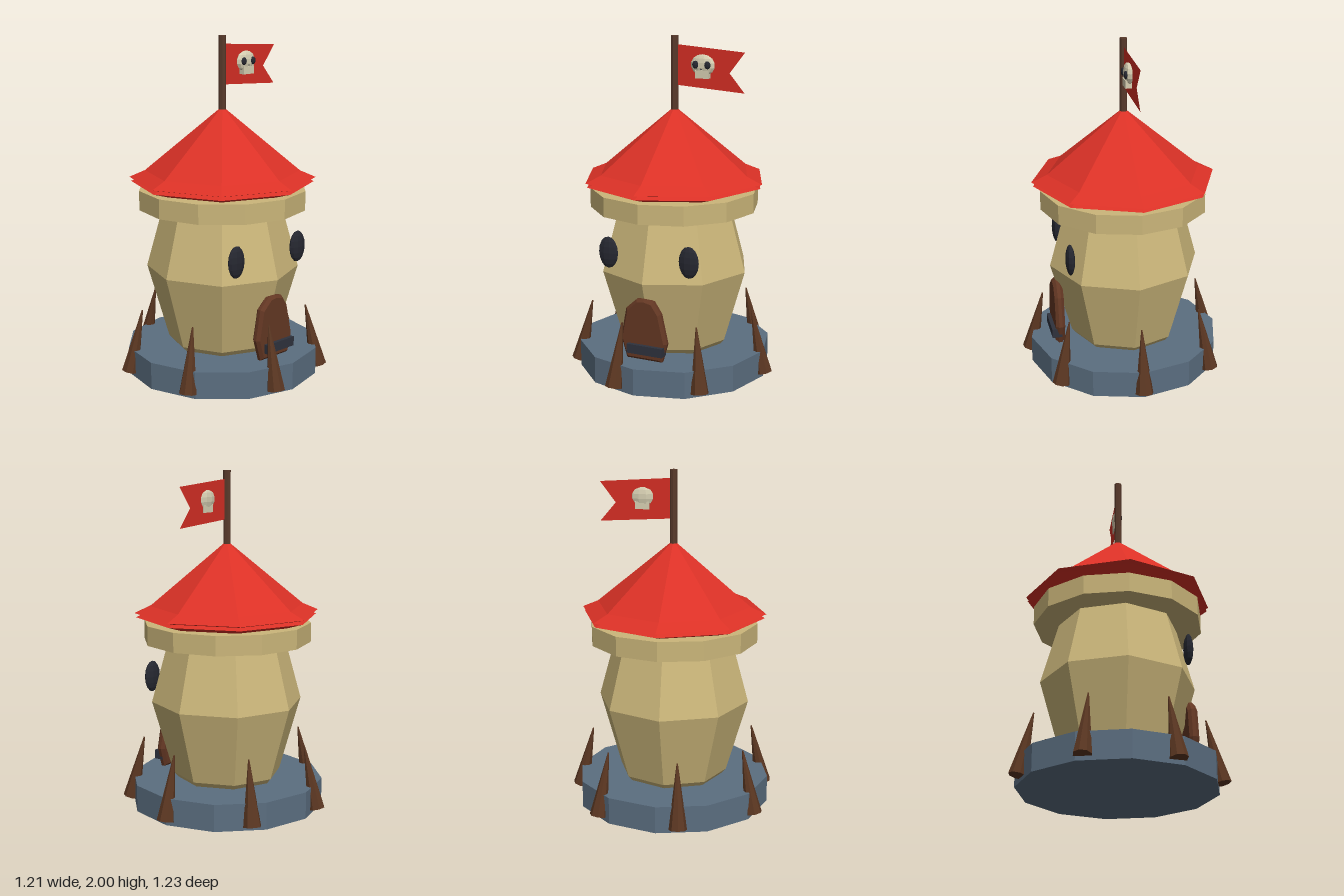
import * as THREE from 'three';

const mat = (name, color) => {
  const m = new THREE.MeshStandardMaterial({ color, flatShading: true });
  m.name = name;
  return m;
};

export function createModel() {
  const root = new THREE.Group();
  root.name = 'watchtower';
  const tower = new THREE.Group();
  tower.name = 'tower';
  tower.position.x = -0.03;
  root.add(tower);

  const stone = mat('sandstone', 0xcbb67a);
  const slate = mat('slate', 0x5b6e80);
  const red = mat('red', 0xdb3126);
  const wood = mat('wood', 0x5a3621);
  const doorWood = mat('doorWood', 0x633723);
  const pole = mat('poleWood', 0x593a2b);
  const dark = mat('dark', 0x262831);
  const iron = mat('iron', 0x2e323d);
  const bone = mat('bone', 0xd6cfb2);
  const cloth = mat('flagRed', 0xd52e24);
  cloth.side = THREE.DoubleSide;

  const add = (name, geo, material, x = 0, y = 0, z = 0, parent = tower) => {
    const mesh = new THREE.Mesh(geo, material);
    mesh.name = name;
    mesh.position.set(x, y, z);
    parent.add(mesh);
    return mesh;
  };
  const lathe = (pts, sides) =>
    new THREE.LatheGeometry(pts.map(([r, y]) => new THREE.Vector2(r, y)), sides);
  const ellipsoid = (rx, ry, rz, w = 10, h = 8) =>
    new THREE.SphereGeometry(1, w, h).scale(rx, ry, rz);
  const outline = pts => new THREE.Shape(pts.map(([x, y]) => new THREE.Vector2(x, y)));

  // Foundation, bulging walls and parapet
  add('foundation', new THREE.CylinderGeometry(0.577, 0.577, 0.16, 12), slate, 0, 0.08);
  add('walls', lathe([[0.29, 0.15], [0.325, 0.19], [0.452, 0.63], [0.348, 1.01]], 8), stone);
  add('parapet', new THREE.CylinderGeometry(0.5, 0.5, 0.115, 12), stone, 0, 1.054);

  // Tent roof with a doubled, flared rim
  add('roof', lathe([[0, 1.112], [0.43, 1.112], [0.54, 1.145], [0.5, 1.158],
    [0.55, 1.17], [0.457, 1.21], [0.018, 1.575], [0, 1.575]], 8), red);

  // Ring of inward-leaning stakes
  for (let i = 0; i < 7; i++) {
    const stake = new THREE.Group();
    stake.name = 'stake' + (i + 1);
    stake.rotation.y = (i / 7) * Math.PI * 2;
    const cone = add('spike', new THREE.CylinderGeometry(0.004, 0.053, 0.38, 8), wood, 0.54, 0.213, 0, stake);
    cone.rotation.z = 0.21;
    tower.add(stake);
  }

  // Arched door and its iron band
  const arch = outline([[-0.07, 0.18], [0.1, 0.18], [0.128, 0.28], [0.09, 0.45], [0.05, 0.51],
    [0, 0.522], [-0.04, 0.515], [-0.1, 0.46], [-0.133, 0.29], [-0.1, 0.18]]);
  const doorGeo = new THREE.ExtrudeGeometry(arch, {
    depth: 0.02, bevelThickness: 0.018, bevelSize: 0.016, bevelSegments: 1,
  });
  add('door', doorGeo, doorWood, 0, 0, 0.405);
  add('doorBand', new THREE.BoxGeometry(0.225, 0.055, 0.06), iron, 0.017, 0.235, 0.436);

  // Oval windows
  for (const s of [-1, 1]) {
    add(s > 0 ? 'leftWindow' : 'rightWindow', ellipsoid(0.062, 0.094, 0.027), dark, s * 0.255, 0.77, 0.37);
  }

  // Flagpole and swallow-tailed flag
  add('flagpole', new THREE.CylinderGeometry(0.022, 0.022, 0.46, 8), pole, 0, 1.77);
  add('flag', new THREE.ShapeGeometry(outline([[0.015, 1.715], [0.435, 1.69], [0.342, 1.8],
    [0.435, 1.922], [0.015, 1.95]])), cloth);

  // Skull emblem, poking through the cloth
  const skull = new THREE.Group();
  skull.name = 'skull';
  skull.position.set(0.182, 1.84, 0.012);
  tower.add(skull);
  add('cranium', ellipsoid(0.075, 0.062, 0.026, 10, 7), bone, 0, 0, 0, skull);
  add('jaw', new THREE.BoxGeometry(0.082, 0.045, 0.044), bone, 0.002, -0.052, 0.003, skull);
  for (const s of [-1, 1]) {
    add('eyeSocket', ellipsoid(0.02, 0.023, 0.012, 8, 6), dark, s * 0.037, 0.003, 0.022, skull);
  }
  add('nose', new THREE.CircleGeometry(0.007, 3).rotateZ(Math.PI / 2), dark, 0, -0.022, 0.0265, skull);
  return root;
}
